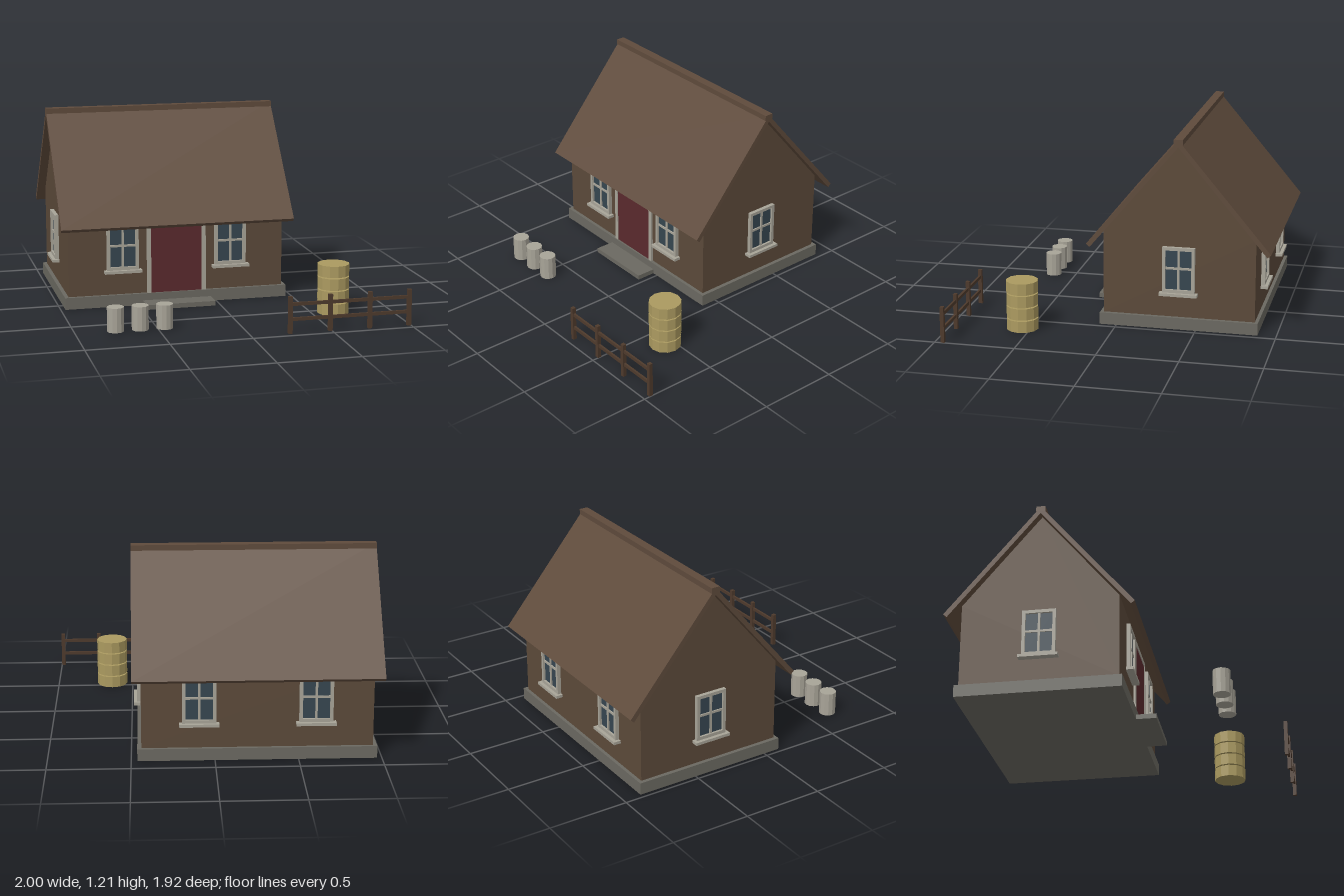
import * as THREE from 'three';

const mat = (name, color) => {
  const m = new THREE.MeshStandardMaterial({ color });
  m.name = name;
  return m;
};

export function createModel() {
  const wallBrown = mat('wallBrown', 0x5c4a3a);
  const roofBrown = mat('roofBrown', 0x5f4b3c);
  const stone = mat('stone', 0x6b6961);
  const trim = mat('paleTrim', 0xa8a498);
  const glass = mat('windowGlass', 0x364650);
  const doorRed = mat('doorRed', 0x5a2a2d);
  const straw = mat('straw', 0xab9a60);
  const fenceWood = mat('fenceWood', 0x4e3a2c);

  const model = new THREE.Group();
  model.name = 'cottageYard';

  const add = (parent, name, geometry, material, x = 0, y = 0, z = 0) => {
    const mesh = new THREE.Mesh(geometry, material);
    mesh.name = name;
    mesh.position.set(x, y, z);
    parent.add(mesh);
    return mesh;
  };
  const box = (parent, name, material, w, h, d, x, y, z) =>
    add(parent, name, new THREE.BoxGeometry(w, h, d), material, x, y, z);

  // Profile in (depth, height), extruded along the length of the house
  const extrudeAlongX = (points, length) => {
    const shape = new THREE.Shape(points.map(([a, b]) => new THREE.Vector2(a, b)));
    const g = new THREE.ExtrudeGeometry(shape, { depth: length, bevelEnabled: false });
    g.translate(0, 0, -length / 2);
    return g.rotateY(Math.PI / 2);
  };

  // House, centred on its own origin
  const house = new THREE.Group();
  house.name = 'house';
  house.position.set(-0.254, 0, -0.39);
  model.add(house);

  const halfLength = 0.693, halfDepth = 0.474;
  box(house, 'foundation', stone, 1.435, 0.075, 0.99, 0, 0.0375, 0);
  box(house, 'doorStep', stone, 0.443, 0.03, 0.14, -0.002, 0.015, 0.548);

  add(house, 'walls', extrudeAlongX([
    [-halfDepth, 0.075], [halfDepth, 0.075], [halfDepth, 0.597],
    [0, 1.16], [-halfDepth, 0.597],
  ], halfLength * 2), wallBrown);

  add(house, 'roof', extrudeAlongX([
    [-0.572, 0.525], [-0.55, 0.505], [0, 1.16], [0.55, 0.505],
    [0.572, 0.525], [0, 1.203],
  ], 1.492), roofBrown);
  box(house, 'ridgeCap', roofBrown, 1.492, 0.034, 0.056, 0, 1.19, 0);

  // Door with its frame
  box(house, 'door', doorRed, 0.328, 0.45, 0.02, -0.002, 0.3, halfDepth);
  for (const s of [-1, 1]) {
    box(house, 'doorPost', trim, 0.026, 0.47, 0.03, -0.002 + s * 0.177, 0.31, halfDepth);
  }
  box(house, 'doorLintel', trim, 0.38, 0.024, 0.03, -0.002, 0.534, halfDepth);

  // Four-pane window facing +z from its wall plane
  const addWindow = (x, z, turn) => {
    const w = new THREE.Group();
    w.name = 'window';
    w.position.set(x, 0.38, z);
    w.rotation.y = turn;
    house.add(w);
    box(w, 'glass', glass, 0.17, 0.26, 0.008, 0, 0, 0.006);
    for (const s of [-1, 1]) {
      box(w, 'frameSide', trim, 0.02, 0.29, 0.024, s * 0.091, 0, 0.012);
      box(w, 'frameRail', trim, 0.162, 0.02, 0.024, 0, s * 0.135, 0.012);
    }
    box(w, 'mullion', trim, 0.014, 0.25, 0.016, 0, 0, 0.01);
    box(w, 'crossBar', trim, 0.162, 0.014, 0.015, 0, 0.01, 0.01);
    box(w, 'sill', trim, 0.238, 0.018, 0.045, 0, -0.154, 0.0225);
  };
  for (const s of [-1, 1]) {
    addWindow(s * 0.348, halfDepth, 0);
    addWindow(s * 0.348, -halfDepth, Math.PI);
    addWindow(s * halfLength, 0, s * Math.PI / 2);
  }

  // Stack of four round straw bales
  const stack = new THREE.Group();
  stack.name = 'baleStack';
  stack.position.set(0.637, 0, 0.552);
  model.add(stack);
  const bale = new THREE.CylinderGeometry(0.1, 0.1, 0.072, 12).toNonIndexed();
  bale.computeVertexNormals();
  for (let i = 0; i < 4; i++) add(stack, 'bale', bale, straw, 0, 0.036 + i * 0.08, 0);

  // Row of churns
  const churn = new THREE.CylinderGeometry(0.052, 0.052, 0.15, 12).toNonIndexed();
  churn.computeVertexNormals();
  for (let i = 0; i < 3; i++) add(model, 'churn', churn, trim, -0.755 + i * 0.15, 0.075, 0.65);

  // Fence
  const fence = new THREE.Group();
  fence.name = 'fence';
  fence.position.set(0.614, 0, 0.95);
  model.add(fence);
  for (let i = 0; i < 4; i++) {
    box(fence, 'fencePost', fenceWood, 0.024, 0.225, 0.024, (i - 1.5) * 0.249, 0.1125, 0);
  }
  for (const y of [0.086, 0.178]) box(fence, 'fenceRail', fenceWood, 0.747, 0.02, 0.013, 0, y, 0);

  return model;
}
